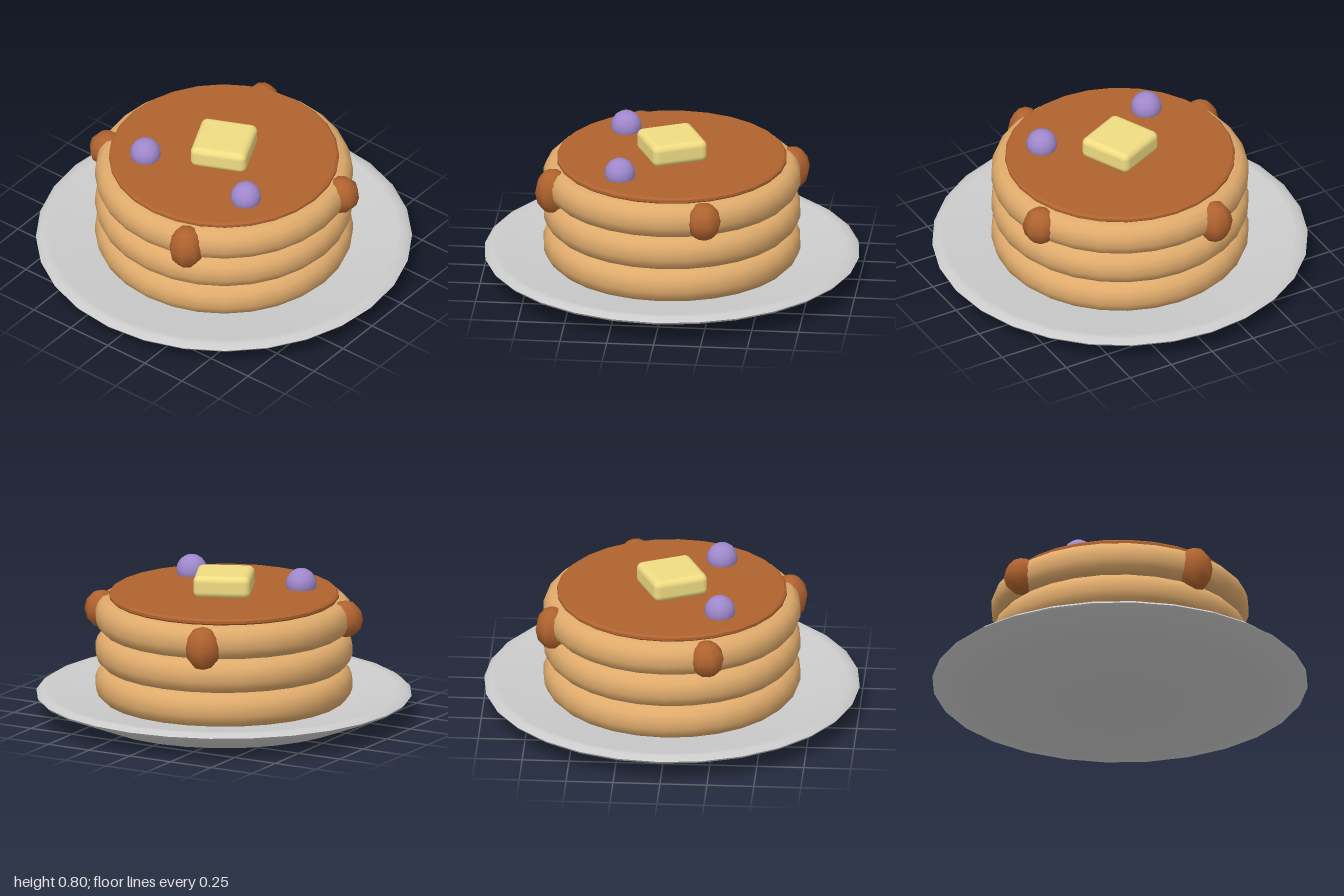
import * as THREE from 'three';
import { RoundedBoxGeometry } from 'three/addons/geometries/RoundedBoxGeometry.js';
import { toCreasedNormals } from 'three/addons/utils/BufferGeometryUtils.js';

const material = (color) => new THREE.MeshStandardMaterial({ color });
const grey = material(0xcccccc);
const batter = material(0xe0ab6c);
const syrup = material(0xb0632f);
const butterYellow = material(0xf0dc82);
const berryPurple = material(0x9f88cc);

// Turned solid: profile runs from the bottom centre to the top centre
function turned(profile, segments, crease) {
  const points = profile.map(([r, y]) => new THREE.Vector2(r, y));
  return toCreasedNormals(new THREE.LatheGeometry(points, segments), crease);
}

export function createModel() {
  const model = new THREE.Group();
  const add = (name, geometry, mat, x, y, z) => {
    const mesh = new THREE.Mesh(geometry, mat);
    mesh.name = name;
    mesh.position.set(x, y, z);
    model.add(mesh);
    return mesh;
  };

  // Plate with a bevelled rim and a shallow dish
  add('plate', turned([
    [0, 0], [0.7, 0], [0.99, 0.115], [1, 0.128], [0.97, 0.15],
    [0.93, 0.148], [0.7, 0.1], [0, 0.095],
  ], 28, 0.8), grey, 0, 0, 0);

  // Three stacked pancakes with rounded edges
  const pancake = turned([
    [0, 0], [0.6, 0], [0.645, 0.009], [0.672, 0.036], [0.685, 0.07],
    [0.685, 0.115], [0.672, 0.149], [0.645, 0.176], [0.6, 0.185], [0, 0.185],
  ], 28, 0.8);
  [0.095, 0.28, 0.465].forEach((y, i) => {
    add('pancake' + (i + 1), pancake, batter, 0, y, 0);
  });

  // Syrup pool on top
  add('syrupPool', turned([
    [0, 0], [0.6, 0], [0.612, 0.012], [0.612, 0.026], [0.6, 0.036], [0, 0.036],
  ], 28, 0.6), syrup, 0, 0.645, 0);

  // Syrup drips around the side: x, y, z, half height
  const drip = new THREE.SphereGeometry(0.096, 8, 6);
  [
    [0.228, 0.54, 0.615, 0.124],
    [0.615, 0.56, -0.23, 0.103],
    [-0.228, 0.535, -0.62, 0.118],
    [-0.615, 0.56, 0.225, 0.1],
  ].forEach(([x, y, z, h], i) => {
    const mesh = add('syrupDrip' + (i + 1), drip, syrup, x, y, z);
    mesh.scale.y = h / 0.096;
    mesh.rotation.y = Math.atan2(x, z);
  });

  // Butter pat
  const butter = add('butter', new RoundedBoxGeometry(0.305, 0.12, 0.305, 3, 0.035),
    butterYellow, 0, 0.736, 0);
  butter.rotation.y = 0.43;

  // Berries sunk into the syrup
  const berry = new THREE.SphereGeometry(0.083, 12, 8);
  add('berryRight', berry, berryPurple, -0.315, 0.705, 0.275);
  add('berryLeft', berry, berryPurple, 0.34, 0.705, 0.245);

  return model;
}
